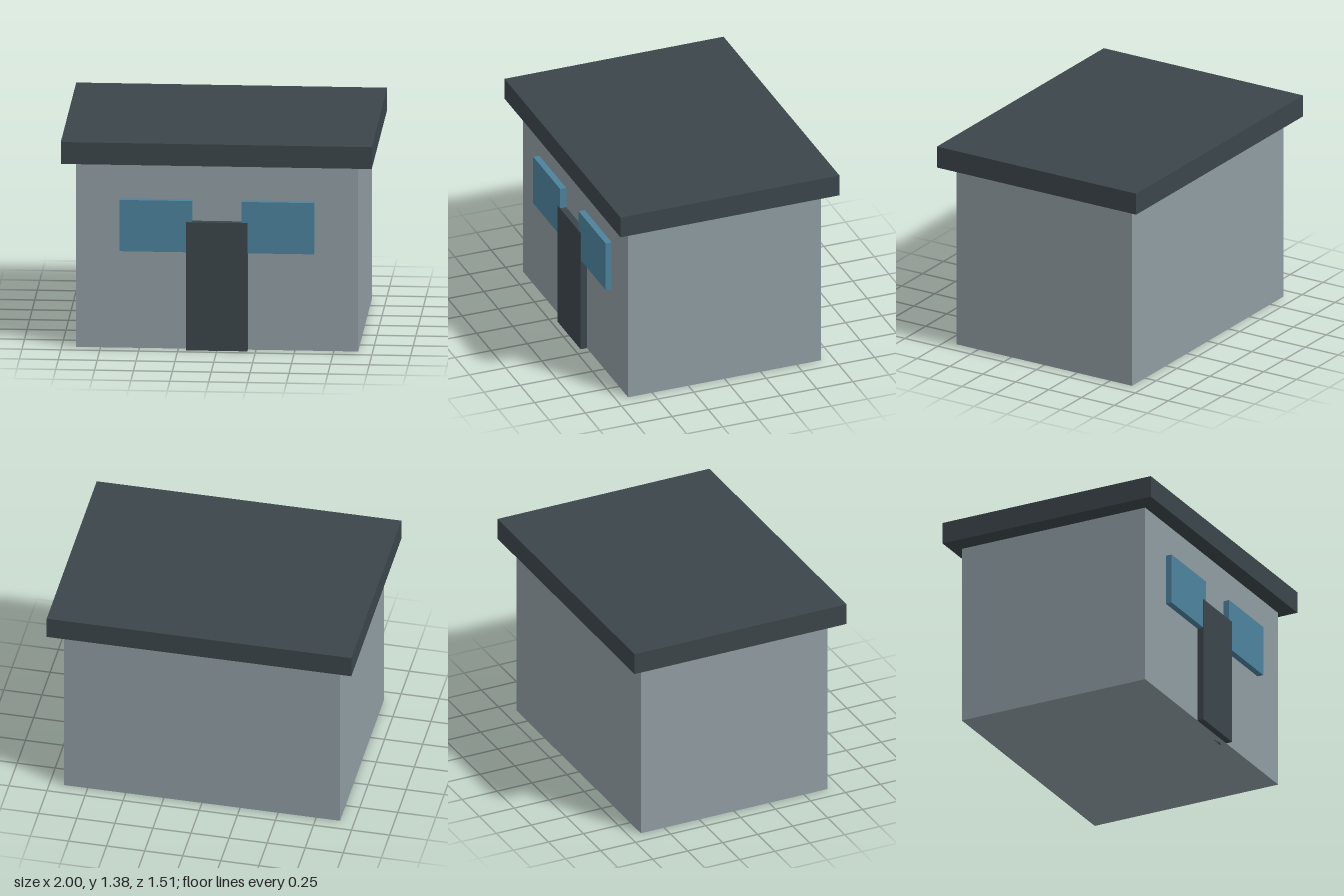
import * as THREE from 'three';

const material = (color) => new THREE.MeshStandardMaterial({ color });

// Box given by its centre in x and z and the height of its underside
function box(name, [w, h, d], [x, bottom, z], mat) {
  const mesh = new THREE.Mesh(new THREE.BoxGeometry(w, h, d), mat);
  mesh.name = name;
  mesh.position.set(x, bottom + h / 2, z);
  return mesh;
}

export function createModel() {
  const hut = new THREE.Group();
  hut.name = 'hut';

  const wall = material(0x8f9ca2);
  const dark = material(0x3b454a);
  const glass = material(0x4c829c);

  // Walls, with the flat roof floating just above them
  hut.add(box('walls', [1.814, 1.215, 1.334], [0, 0, 0], wall));
  hut.add(box('roof', [2, 0.145, 1.514], [0, 1.235, 0], dark));

  // Door, a hair proud of the windows it overlaps
  hut.add(box('door', [0.394, 0.85, 0.09], [0, 0, 0.666], dark));

  // Windows on both sides of the door
  for (const [name, side] of [['leftWindow', 1], ['rightWindow', -1]]) {
    hut.add(box(name, [0.465, 0.34, 0.088], [side * 0.392, 0.65, 0.665], glass));
  }
  return hut;
}
